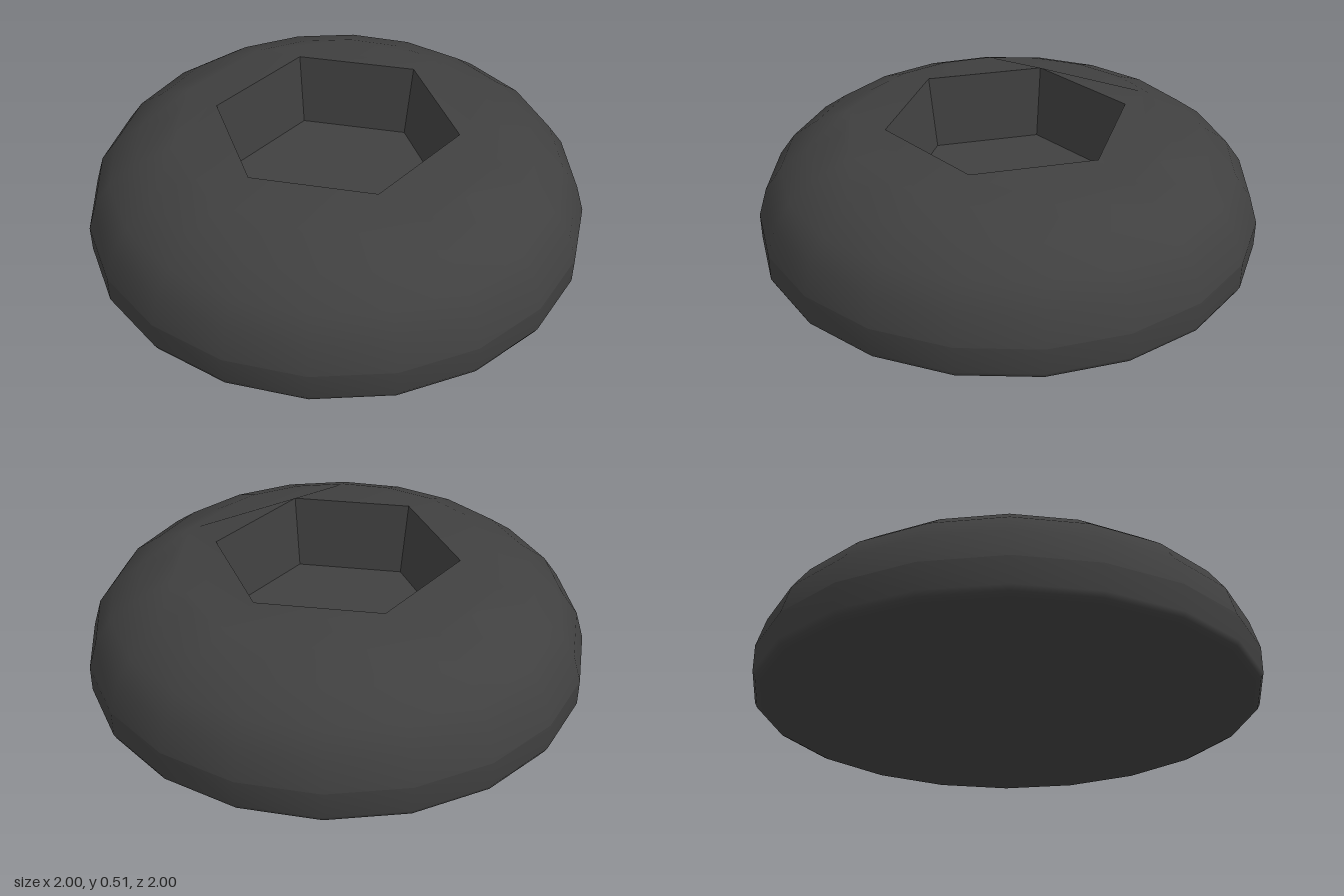
import * as THREE from 'three';
import { mergeGeometries, mergeVertices } from 'three/addons/utils/BufferGeometryUtils.js';

const SIDES = 20;
const TOP_Y = 0.51, SHOULDER_Y = 0.48, SHOULDER_R = 0.65;
const HEX_R = 0.485, HEX_FLOOR_R = 0.44, HEX_FLOOR_Y = 0.21;

const points = (list) => list.map(([r, y]) => new THREE.Vector2(r, y));

const ring = (count, r) => Array.from({ length: count }, (_, i) => {
  const a = (i / count) * Math.PI * 2;
  return new THREE.Vector2(r * Math.cos(a), r * Math.sin(a));
});

// Joins pieces along shared edges so the shading runs smoothly across them
function smoothJoin(geometries) {
  geometries.forEach((g) => { g.deleteAttribute('uv'); g.deleteAttribute('normal'); });
  const joined = mergeVertices(mergeGeometries(geometries), 1e-3);
  joined.computeVertexNormals();
  return joined;
}

export function createModel() {
  const model = new THREE.Group();
  model.name = 'buttonHeadBolt';
  const color = 0x404040;
  const smooth = new THREE.MeshStandardMaterial({ color });
  const flat = new THREE.MeshStandardMaterial({ color, flatShading: true });

  const add = (name, geometry, material) => {
    const mesh = new THREE.Mesh(geometry, material);
    mesh.name = name;
    model.add(mesh);
  };

  // Crown: round outside, hexagonal opening, rising slightly to the rim
  const crownShape = new THREE.Shape(ring(SIDES, SHOULDER_R));
  crownShape.holes.push(new THREE.Path(ring(6, HEX_R)));
  const crown = new THREE.ShapeGeometry(crownShape).rotateX(-Math.PI / 2);
  const pos = crown.attributes.position;
  for (let i = 0; i < pos.count; i++) {
    const r = Math.hypot(pos.getX(i), pos.getZ(i));
    pos.setY(i, r > (SHOULDER_R + HEX_R) / 2 ? SHOULDER_Y : TOP_Y);
  }

  // Dome below the crown
  const dome = new THREE.LatheGeometry(points([
    [1, 0.135], [0.965, 0.25], [0.9, 0.34], [0.79, 0.42], [SHOULDER_R, SHOULDER_Y],
  ]), SIDES);
  add('dome', smoothJoin([dome, crown]), smooth);

  // Straight side band with a small rounded lower edge
  const band = new THREE.LatheGeometry(points([
    [0.97, 0], [0.99, 0.01], [1, 0.03], [1, 0.135],
  ]), SIDES);
  add('sideBand', smoothJoin([band]), smooth);

  // Flat underside
  add('underside', new THREE.CircleGeometry(0.97, SIDES).rotateX(Math.PI / 2), flat);

  // Tapered hexagonal socket with a flat floor
  add('hexSocket', new THREE.LatheGeometry(points([
    [HEX_R, TOP_Y], [HEX_FLOOR_R, HEX_FLOOR_Y], [0, HEX_FLOOR_Y],
  ]), 6, Math.PI / 2), flat);

  return model;
}
